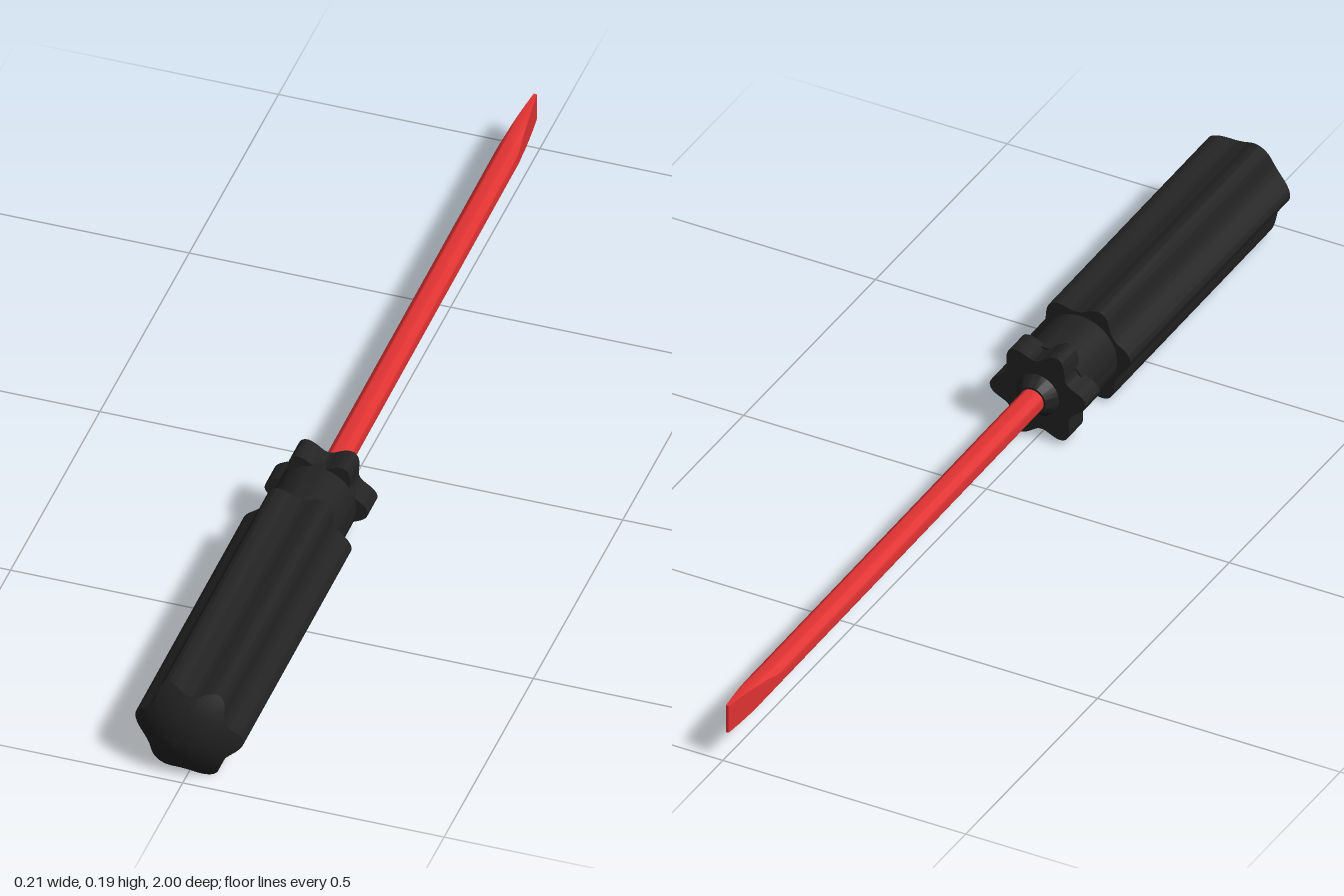
import * as THREE from 'three';
import { toCreasedNormals } from 'three/addons/utils/BufferGeometryUtils.js';

const black = new THREE.MeshStandardMaterial({ color: 0x222222 });
const red = new THREE.MeshStandardMaterial({ color: 0xe03232 });

// Closed skin over rings ordered back to front; each ring maps an angle to [x, y, z]
function loft(name, rings, material, sides, crease = 0.6) {
  const positions = [], index = [];
  rings.forEach((ring, i) => {
    for (let j = 0; j < sides; j++) {
      positions.push(...ring((j / sides) * Math.PI * 2));
      if (i === rings.length - 1) continue;
      const a = i * sides + j, b = i * sides + (j + 1) % sides;
      index.push(a, b, b + sides, a, b + sides, a + sides);
    }
  });
  const geometry = new THREE.BufferGeometry();
  geometry.setAttribute('position', new THREE.Float32BufferAttribute(positions, 3));
  geometry.setIndex(index);
  const mesh = new THREE.Mesh(toCreasedNormals(geometry, crease), material);
  mesh.name = name;
  return mesh;
}

// Six-lobed radius, turned slightly about the axis
const PHASE = -0.08;
const lobed = (valley, tip, sharpness) => (a) =>
  valley + (tip - valley) * Math.pow(0.5 + 0.5 * Math.cos(6 * (a - PHASE)), sharpness);

// Ring at a scale of a radius function; z may depend on the radius
const ring = (radius, scale, z) => (a) => {
  const r = radius(a) * scale;
  return [r * Math.cos(a), r * Math.sin(a), typeof z === 'function' ? z(r) : z];
};

function makeHandle() {
  const radius = lobed(0.083, 0.104, 1.25);
  const dome = (r) => 1 - 3.6 * r * r;
  const rings = [ring(radius, 0, 0.35), ring(radius, 1, 0.35)];
  for (let i = 0; i <= 8; i++) rings.push(ring(radius, 1 - i / 8, dome));
  return loft('handle', rings, black, 120);
}

function makeCollar() {
  const radius = lobed(0.072, 0.099, 1.15);
  return loft('collar', [
    ring(radius, 0, 0.188), ring(radius, 1, 0.188), ring(radius, 1, 0.242), ring(radius, 0, 0.242),
  ], black, 120);
}

// Plain turned part from [radius, z] pairs, back to front
const turned = (name, profile, material) =>
  loft(name, profile.map(([r, z]) => ring(() => r, 1, z)), material, 48);

// Round rod whose end is ground to a flared flat blade
function makeShaft() {
  const R = 0.024, start = -0.82, steps = 16;
  const section = (t, scale) => (a) => {
    const half = THREE.MathUtils.lerp(R, 0.003, t);
    const flare = 1 + 0.22 * THREE.MathUtils.smoothstep(t, 0.1, 0.7);
    return [
      scale * THREE.MathUtils.clamp(R * Math.cos(a), -half, half),
      scale * R * Math.sin(a) * flare,
      THREE.MathUtils.lerp(start, -1, t),
    ];
  };
  const rings = [section(1, 0)];
  for (let i = steps; i >= 0; i--) rings.push(section(i / steps, 1));
  rings.push(ring(() => R, 1, 0.2), ring(() => R, 0, 0.2));
  return loft('shaftAndBlade', rings, red, 64, 0.5);
}

export function createModel() {
  const model = new THREE.Group();
  model.name = 'screwdriver';
  model.add(
    makeHandle(),
    turned('neck', [[0, 0.23], [0.076, 0.23], [0.076, 0.36], [0, 0.36]], black),
    makeCollar(),
    turned('boss', [[0, 0.166], [0.028, 0.166], [0.045, 0.19], [0, 0.19]], black),
    makeShaft(),
  );
  // The tool lies with a very slight tilt
  model.rotation.set(-0.002, 0.0045, 0);
  model.position.set(-0.0045, 0.0965, 0);
  return model;
}
